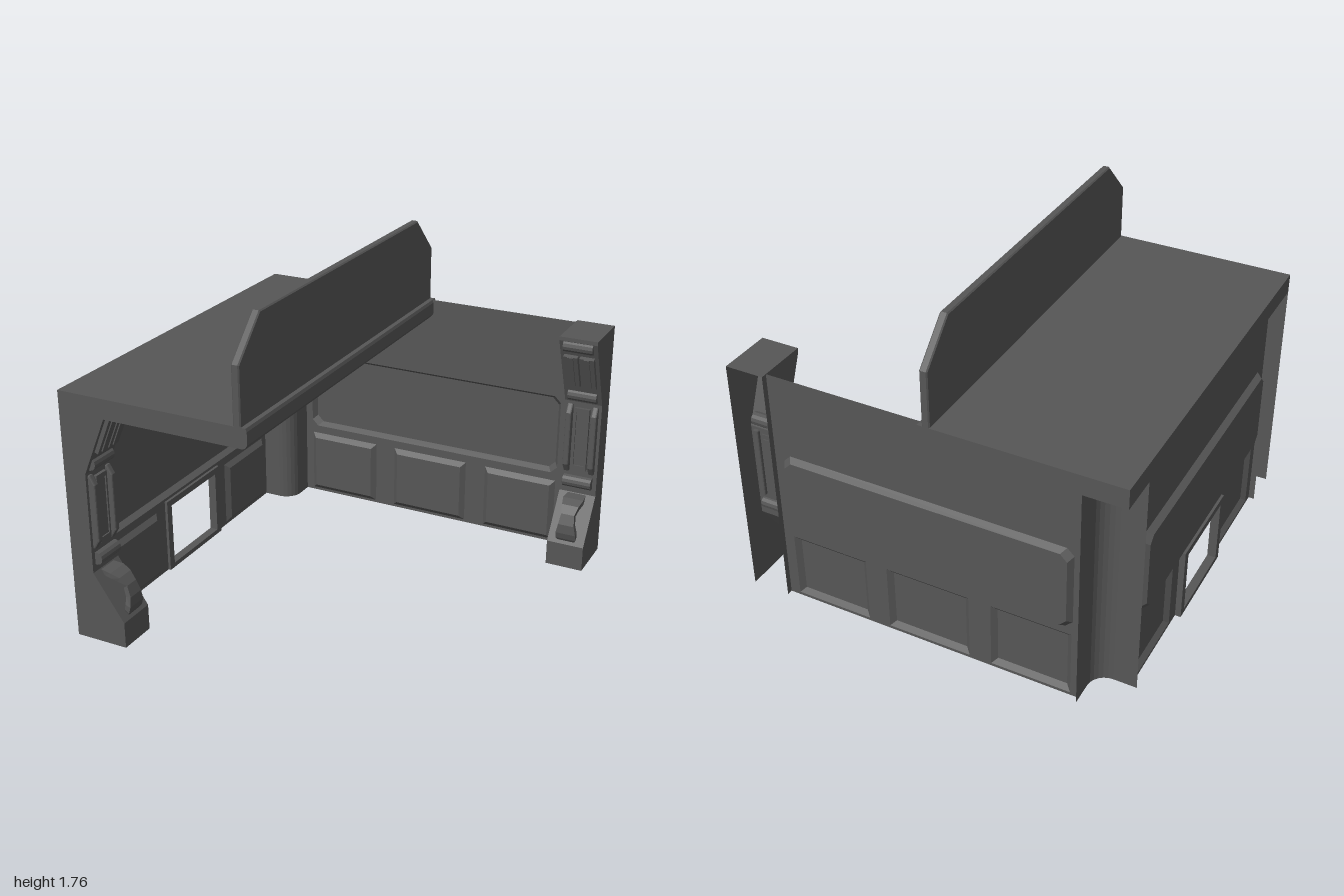
import * as THREE from 'three';

const material = new THREE.MeshStandardMaterial({ color: 0x565656, flatShading: true, side: THREE.DoubleSide });

function add(parent, geometry, name, x = 0, y = 0, z = 0) {
  const mesh = new THREE.Mesh(geometry, material);
  mesh.name = name;
  mesh.position.set(x, y, z);
  parent.add(mesh);
  return mesh;
}

// Surface through rows of [x, y, z] points
function loft(rows) {
  const n = rows[0].length;
  const index = [];
  for (let i = 0; i < rows.length - 1; i++) {
    for (let j = 0; j < n - 1; j++) {
      const a = i * n + j, b = a + 1, c = a + n, d = c + 1;
      index.push(a, b, d, a, d, c);
    }
  }
  const geometry = new THREE.BufferGeometry();
  geometry.setAttribute('position', new THREE.Float32BufferAttribute(rows.flat(2), 3));
  geometry.setIndex(index);
  const flat = geometry.toNonIndexed();
  flat.computeVertexNormals();
  return flat;
}

const shapeOf = (points) => new THREE.Shape(points.map(([x, y]) => new THREE.Vector2(x, y)));

// Rectangle outline with optional cut corners
function outline(x0, x1, y0, y1, c = 0) {
  if (!c) return [[x0, y0], [x1, y0], [x1, y1], [x0, y1]];
  return [[x0 + c, y0], [x1 - c, y0], [x1, y0 + c], [x1, y1 - c],
    [x1 - c, y1], [x0 + c, y1], [x0, y1 - c], [x0, y0 + c]];
}

// Bevelled panel, raised (depth > 0) or recessed (depth < 0), that fills a hole in a wall
function relief(parent, name, [x0, x1, y0, y1, c], inset, depth) {
  const outer = outline(x0, x1, y0, y1, c);
  const inner = outline(x0 + inset, x1 - inset, y0 + inset, y1 - inset, c);
  const ring = (points, z) => [...points, points[0]].map(([x, y]) => [x, y, z]);
  add(parent, loft([ring(outer, 0), ring(inner, depth)]), name + 'Bevel');
  add(parent, new THREE.ShapeGeometry(shapeOf(inner)), name + 'Face', 0, 0, depth);
}

function frame(outer, hole, depth) {
  const shape = shapeOf(outer);
  shape.holes.push(shapeOf(hole));
  return new THREE.ExtrudeGeometry(shape, { depth, bevelEnabled: false });
}

// Thin wall with a long recess and a row of raised panels, with or without a hatch
function makeWall(name, x0, x1, hasHatch) {
  const wall = new THREE.Group();
  wall.name = name;
  const recess = [-0.75, 0.75, 0.415, 0.86, 0.035];
  const panels = [[-0.745, -0.335, 0.015, 0.37], [0.335, 0.745, 0.015, 0.37]];
  if (!hasHatch) panels.push([-0.22, 0.22, 0.015, 0.37]);
  const hatch = outline(-0.215, 0.215, 0.025, 0.365);

  const sheet = shapeOf(outline(x0, x1, 0, 1.29));
  [recess, ...panels].forEach((r) => sheet.holes.push(shapeOf(outline(...r))));
  if (hasHatch) sheet.holes.push(shapeOf(hatch));
  add(wall, new THREE.ShapeGeometry(sheet), 'wallSheet');

  relief(wall, 'longRecess', recess, 0.02, -0.03);
  panels.forEach((p) => relief(wall, 'lowerPanel', p, 0.026, 0.022));
  if (hasHatch) {
    add(wall, frame(outline(-0.255, 0.255, 0, 0.4), hatch, 0.045), 'hatchFrame', 0, 0, -0.03);
  }
  // Returns at both ends of the sheet
  for (const x of [x0, x1]) {
    add(wall, loft([[[x, 0, -0.03], [x, 0, 0]], [[x, 1.29, -0.03], [x, 1.29, 0]]]), 'wallEnd');
  }
  return wall;
}

// Buttress post, open behind and below; z is the distance from the wall's outer plane
function makePost(name) {
  const post = new THREE.Group();
  post.name = name;
  const profile = [[0.28, 0], [0.28, 0.135], [0.12, 0.37], [0.12, 0.89],
    [0.28, 1.27], [0.28, 1.29], [0, 1.29]];
  add(post, loft(profile.map(([d, y]) => [[-0.1, y, d], [0.1, y, d]])), 'postFront');
  for (const x of [-0.1, 0.1]) {
    const side = new THREE.ShapeGeometry(shapeOf([[0, 0], ...profile]));
    add(post, side.rotateY(-Math.PI / 2), 'postSide', x);
  }

  // Three rounded cross bars
  for (const [y, d] of [[0.44, 0.128], [0.935, 0.13], [1.243, 0.259]]) {
    const bar = new THREE.CylinderGeometry(0.033, 0.033, 0.155, 12).rotateZ(Math.PI / 2);
    add(post, bar, 'crossBar', 0, y, d);
  }

  // Paired ribbed blocks on the slope and rails with cut ends below them, mirrored
  const railSide = shapeOf([[0.11, 0.5], [0.125, 0.5], [0.149, 0.54], [0.149, 0.83], [0.125, 0.87], [0.11, 0.87]]);
  for (const s of [-1, 1]) {
    const block = add(post, new THREE.BoxGeometry(0.075, 0.2, 0.03), 'slopeBlock', s * 0.043, 1.095, 0.212);
    block.rotation.x = 0.4;
    const rib = add(post, new THREE.BoxGeometry(0.03, 0.19, 0.02), 'slopeRib', s * 0.043, 1.095, 0.224);
    rib.rotation.x = 0.4;
    const rail = new THREE.ExtrudeGeometry(railSide, { depth: 0.018, bevelSize: 0.007, bevelThickness: 0.007, bevelSegments: 2 });
    add(post, rail.rotateY(-Math.PI / 2), 'sideRail', s * 0.068 + 0.009);
  }

  // Framed plate between the rails
  add(post, frame(outline(-0.04, 0.04, 0.51, 0.86), outline(-0.03, 0.03, 0.535, 0.835), 0.022), 'plateFrame', 0, 0, 0.115);
  add(post, new THREE.BoxGeometry(0.06, 0.3, 0.02), 'framedPlate', 0, 0.685, 0.12);

  // Flared hoop on the lower slope
  const sections = [[0.13, 0.37, 0.05], [0.185, 0.363, 0.056], [0.23, 0.343, 0.046], [0.265, 0.305, 0.036],
    [0.286, 0.25, 0.043], [0.288, 0.2, 0.054], [0.278, 0.165, 0.054], [0.265, 0.145, 0.042]];
  const hoop = sections.map(([d, y, w]) => {
    const di = 0.19 + (d - 0.19) * 0.72, yi = 0.24 + (y - 0.24) * 0.78;
    return [[-w, yi, di], [-w, y, d], [w, y, d], [w, yi, di], [-w, yi, di]];
  });
  add(post, loft(hoop), 'hoop');
  return post;
}

export function createModel() {
  const model = new THREE.Group();
  model.name = 'cornerRoom';

  // Two walls that meet at the corner column
  const backWall = makeWall('backWall', -0.79, 0.8, false);
  backWall.position.z = -0.97;
  const sideWall = makeWall('sideWall', -0.8, 0.79, true);
  sideWall.rotation.y = Math.PI / 2;
  sideWall.position.x = -0.97;
  model.add(backWall, sideWall);

  // Column with a rounded inner edge
  const plan = [[-0.79, -1]];
  for (let i = 0; i <= 6; i++) {
    const a = (i / 6) * Math.PI / 2;
    plan.push([-0.88 + 0.09 * Math.cos(a), -0.88 + 0.09 * Math.sin(a)]);
  }
  plan.push([-1, -0.79]);
  add(model, loft([0, 1.29].map((y) => plan.map(([x, z]) => [x, y, z]))), 'cornerColumn');

  // One post at the free end of each wall
  const backPost = makePost('backPost');
  backPost.position.set(0.9, 0, -1);
  const sidePost = makePost('sidePost');
  sidePost.rotation.y = Math.PI / 2;
  sidePost.position.set(-1, 0, 0.9);
  model.add(backPost, sidePost);

  // Roof slab with a cut lower edge
  const roof = shapeOf([[-1, 1.19], [-0.028, 1.19], [-0.012, 1.195], [0, 1.212], [0, 1.275], [-0.006, 1.29], [-1, 1.29]]);
  add(model, new THREE.ExtrudeGeometry(roof, { depth: 2, bevelEnabled: false }), 'roofSlab', 0, 0, -1);

  // Parapet with cut corners and a fine bevel
  const b = 0.006;
  const board = shapeOf([[-1 + b, 1.28], [1 - b, 1.28], [1 - b, 1.57], [0.81, 1.76 - b], [-0.81, 1.76 - b], [-1 + b, 1.57]]);
  const parapet = new THREE.ExtrudeGeometry(board, { depth: 0.04 - 2 * b, bevelSize: b, bevelThickness: b, bevelSegments: 1 });
  add(model, parapet.rotateY(-Math.PI / 2), 'parapet', -0.03 - b);

  return model;
}
